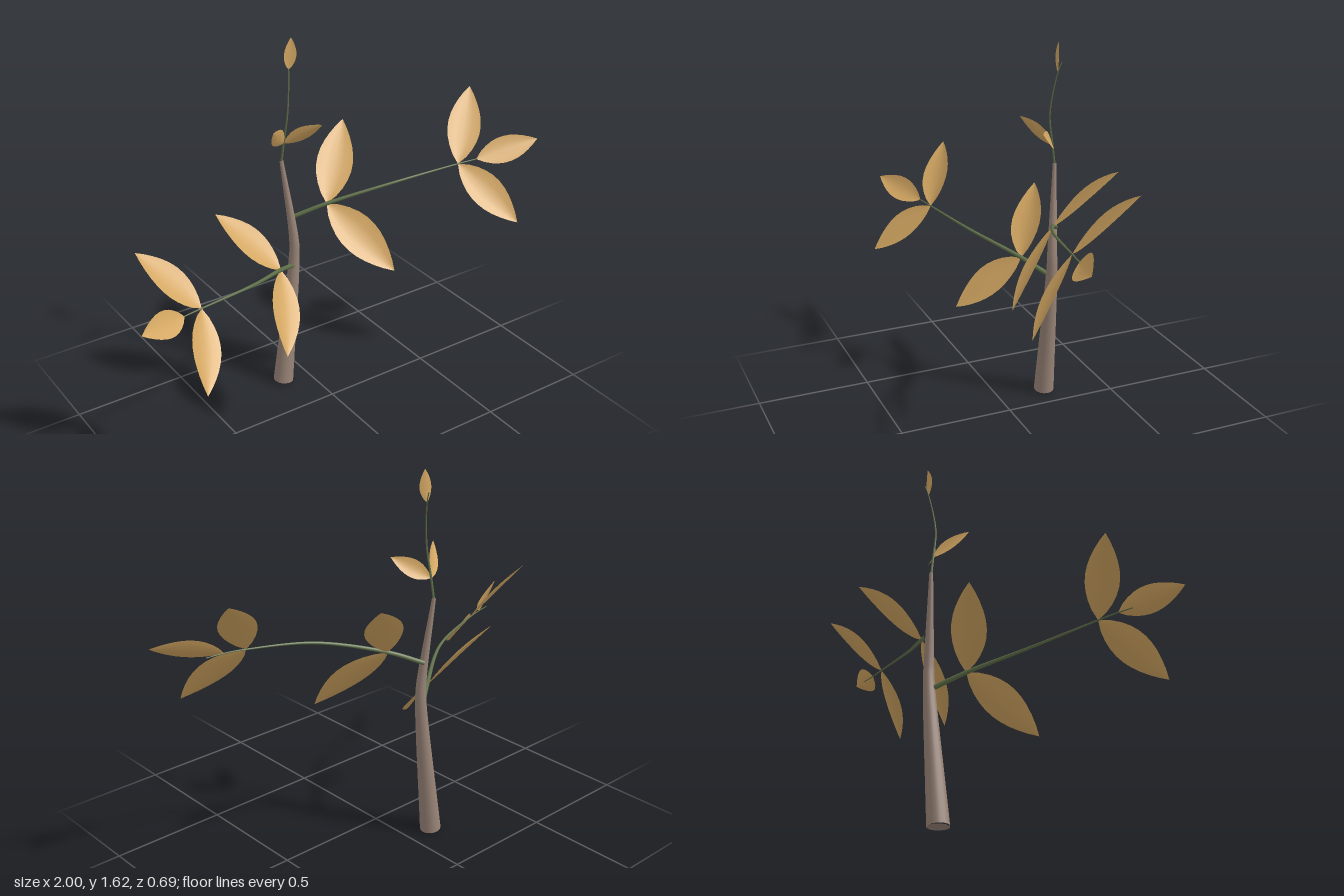
import * as THREE from 'three';

// Tube through points, tapering evenly from one radius to another
function taperedTube(points, from, to, sides) {
  const segments = 30;
  const curve = new THREE.CatmullRomCurve3(points, false, 'centripetal');
  const geo = new THREE.TubeGeometry(curve, segments, 1, sides, false);
  const pos = geo.attributes.position, nor = geo.attributes.normal;
  const p = new THREE.Vector3(), n = new THREE.Vector3();
  for (let i = 0; i < pos.count; i++) {
    const t = Math.floor(i / (sides + 1)) / segments;
    n.fromBufferAttribute(nor, i);
    p.fromBufferAttribute(pos, i).addScaledVector(n, from + (to - from) * t - 1);
    pos.setXYZ(i, p.x, p.y, p.z);
  }
  return geo;
}

// Pointed oval blade from base to tip, gently cupped towards its facing side
function leafGeometry(base, tip, facing) {
  const dir = tip.clone().sub(base);
  const length = dir.length();
  dir.normalize();
  const face = facing.clone().addScaledVector(dir, -facing.dot(dir)).normalize();
  const side = new THREE.Vector3().crossVectors(dir, face);
  const geo = new THREE.PlaneGeometry(1, 1, 4, 10);
  const pos = geo.attributes.position, p = new THREE.Vector3();
  for (let i = 0; i < pos.count; i++) {
    const s = pos.getX(i) * 2, t = pos.getY(i) + 0.5;
    const bulge = Math.max(0, Math.sin(Math.PI * Math.pow(t, 0.9)));
    const half = 0.2 * length * Math.pow(bulge, 0.9);
    const lift = 0.2 * half * (s * s - 0.5) + 0.02 * length * Math.sin(Math.PI * t);
    p.copy(base).addScaledVector(dir, t * length)
      .addScaledVector(side, s * half).addScaledVector(face, lift);
    pos.setXYZ(i, p.x, p.y, p.z);
  }
  geo.computeVertexNormals();
  return geo;
}

function material(name, color, side = THREE.FrontSide) {
  const mat = new THREE.MeshStandardMaterial({ color, side });
  mat.name = name;
  return mat;
}

function addMesh(parent, name, geo, mat) {
  const mesh = new THREE.Mesh(geo, mat);
  mesh.name = name;
  parent.add(mesh);
  return mesh;
}

export function createModel() {
  const bark = material('bark brown', 0x9b8679);
  const green = material('stem green', 0x5f7049);
  const tan = material('leaf tan', 0xd4a762, THREE.DoubleSide);
  const v = (x, y, z) => new THREE.Vector3(x, y, z);

  const model = new THREE.Group();
  model.name = 'sapling';

  // Trunk, bending back near the middle
  const root = v(-0.12, 0, -0.22);
  const trunkPath = [root, v(-0.05, 0.62, -0.22), v(-0.05, 0.7, -0.22), v(-0.09, 1.08, -0.245)];
  addMesh(model, 'trunk', taperedTube(trunkPath, 0.045, 0.008, 16), bark);
  const foot = addMesh(model, 'trunkBase', new THREE.CircleGeometry(0.045, 16), bark);
  foot.rotation.x = Math.PI / 2;
  foot.position.copy(root);

  // A stem whose leaves grow from its path points: each has a point index,
  // a tip and, if it differs from the rest, its own facing
  function addShoot(name, radius, path, facing, leaves) {
    const shoot = new THREE.Group();
    shoot.name = name;
    addMesh(shoot, 'stem', taperedTube(path, radius, 0.002, 8), green);
    for (const [node, tip, ownFacing = facing] of leaves) {
      addMesh(shoot, 'leaf', leafGeometry(path[node], tip, ownFacing), tan);
    }
    model.add(shoot);
  }

  // Upper branch
  const leftPath = [v(-0.05, 0.805, -0.235), v(0.08, 0.865, -0.16), v(0.35, 0.943, -0.035),
    v(0.64, 0.977, 0.03), v(0.73, 0.982, 0.045), v(0.81, 0.983, 0.05)];
  addShoot('leftBranch', 0.01, leftPath, v(-0.35, 0.6, 0.72), [
    [1, v(0.29, 1.14, -0.345)], [1, v(0.255, 0.6, 0.1)],
    [3, v(0.83, 1.24, -0.14)], [3, v(0.8, 0.742, 0.26)],
    [4, v(1, 1.045, 0.135)],
  ]);

  // Lower branch
  const rightPath = [v(-0.06, 0.58, -0.215), v(-0.175, 0.635, -0.13), v(-0.4, 0.708, 0.018),
    v(-0.68, 0.743, 0.105), v(-0.765, 0.748, 0.125), v(-0.83, 0.748, 0.14)];
  addShoot('rightBranch', 0.011, rightPath, v(0.35, 0.6, 0.72), [
    [1, v(-0.39, 0.895, -0.29)], [1, v(-0.31, 0.388, 0.128)],
    [3, v(-0.875, 0.985, -0.035)], [3, v(-0.8, 0.522, 0.348)],
    [4, v(-1, 0.81, 0.245)],
  ]);

  // Top shoot with a small outward-turned pair of leaves and a bud leaf
  const topPath = [v(-0.09, 1.07, -0.245), v(-0.085, 1.16, -0.232), v(-0.075, 1.3, -0.213),
    v(-0.052, 1.475, -0.235), v(-0.046, 1.52, -0.25)];
  addShoot('topShoot', 0.005, topPath, v(-0.2, 0, 1), [
    [1, v(-0.195, 1.27, -0.13), v(-0.45, 0.4, -0.8)],
    [1, v(0.04, 1.25, -0.13), v(0.45, 0.4, -0.8)],
    [3, v(-0.04, 1.61, -0.233)],
  ]);
  return model;
}
